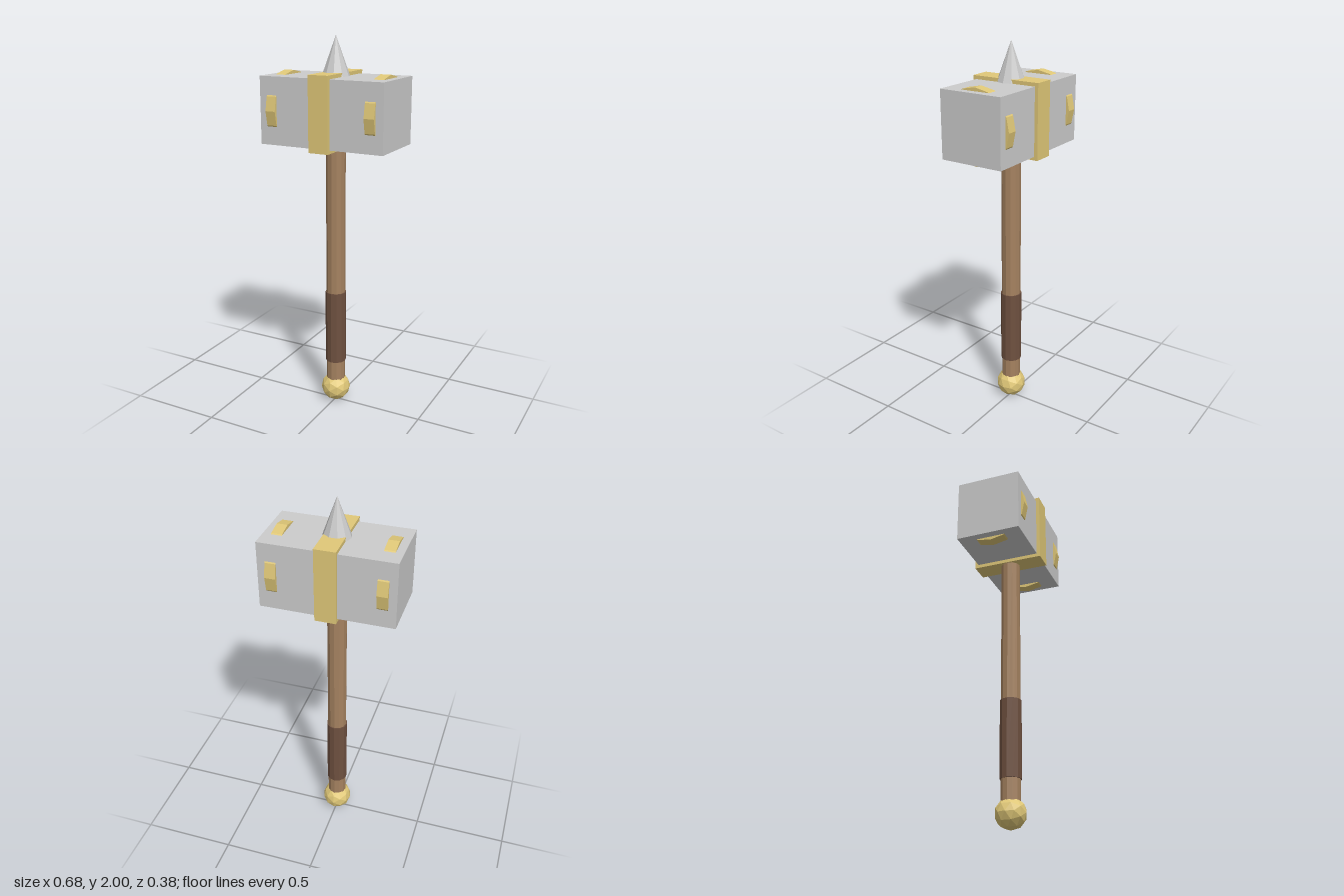
import * as THREE from 'three';

const material = (color) => new THREE.MeshStandardMaterial({ color, flatShading: true });

export function createModel() {
  const group = new THREE.Group();
  const steel = material(0xcccccc);
  const gold = material(0xe0c878);
  const wood = material(0xa58260);
  const leather = material(0x6f5140);

  const add = (name, geometry, mat, x, y) => {
    const mesh = new THREE.Mesh(geometry, mat);
    mesh.name = name;
    mesh.position.set(x, y, 0);
    group.add(mesh);
    return mesh;
  };
  // Upright rod between two heights
  const rod = (name, radius, y0, y1, mat) =>
    add(name, new THREE.CylinderGeometry(radius, radius, y1 - y0, 12), mat, 0, (y0 + y1) / 2);

  // Handle, grip and pommel
  add('pommel', new THREE.IcosahedronGeometry(0.08, 1), gold, 0, 0.08);
  rod('handle', 0.051, 0.08, 1.5, wood);
  rod('grip', 0.056, 0.246, 0.652, leather);

  // Hammer head with its central band
  const headY = 1.631;
  add('head', new THREE.BoxGeometry(0.678, 0.343, 0.343), steel, 0, headY);
  add('centreBand', new THREE.BoxGeometry(0.108, 0.38, 0.38), gold, 0, headY);

  // Round hoops inside the head that break through its four long faces
  for (const side of [-1, 1]) {
    const hoop = new THREE.CylinderGeometry(0.19, 0.19, 0.054, 16).rotateZ(Math.PI / 2);
    add(side > 0 ? 'leftHoop' : 'rightHoop', hoop, gold, side * 0.2715, headY);
  }

  // Top spike, with corners pointing along x
  const spike = new THREE.ConeGeometry(0.08, 0.22, 10).rotateY(Math.PI / 2);
  add('spike', spike, steel, 0, 1.89);

  return group;
}
